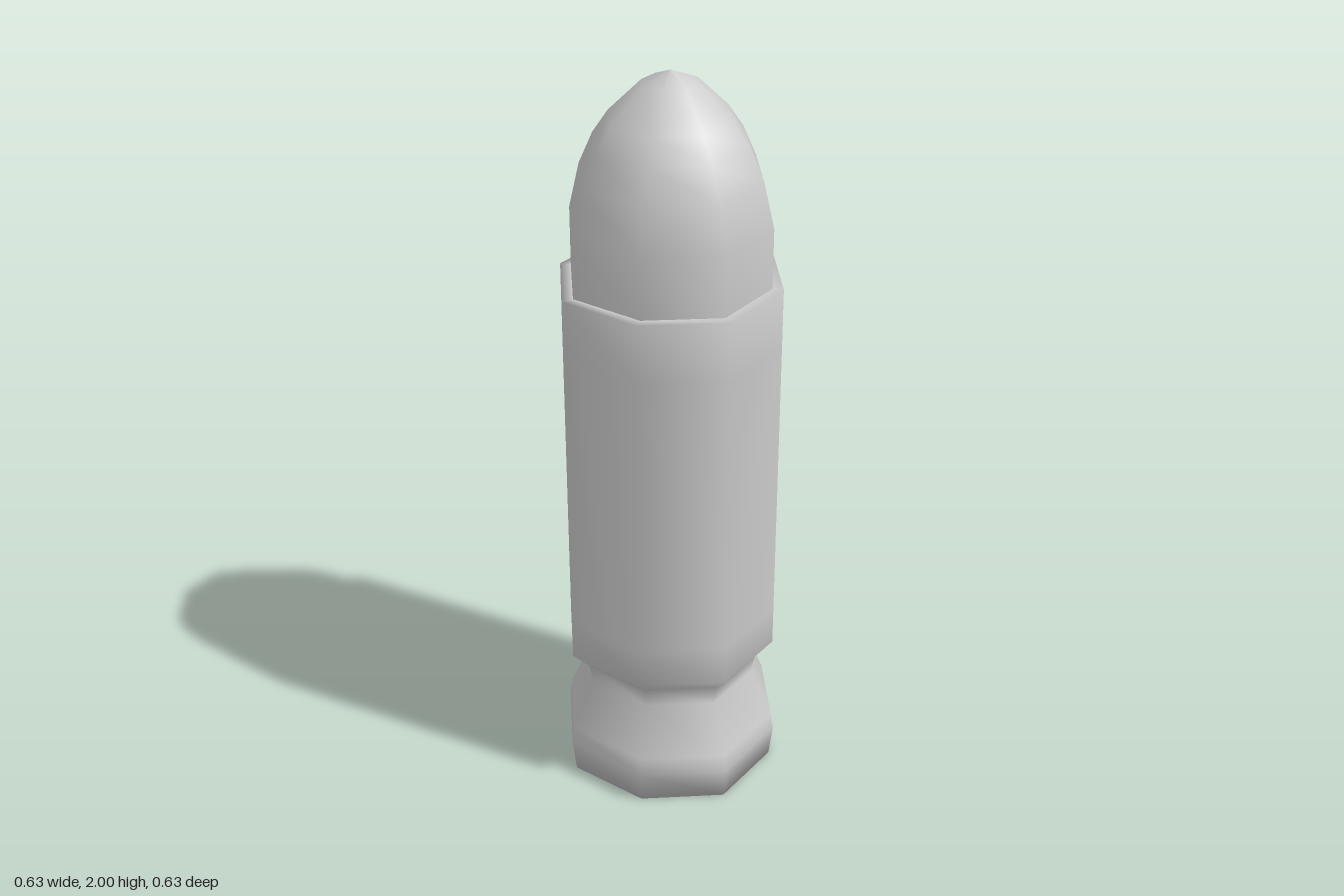
import * as THREE from 'three';

const material = new THREE.MeshStandardMaterial({ color: 0xcccccc });

// Smooth eight-sided turned part; diagonal corners sit slightly inward of the axis corners
function turned(name, profile) {
  const geometry = new THREE.LatheGeometry(profile.map(([r, y]) => new THREE.Vector2(r, y)), 8);
  const pos = geometry.attributes.position;
  for (let i = 0; i < pos.count; i++) {
    const x = pos.getX(i), z = pos.getZ(i);
    if (Math.min(Math.abs(x), Math.abs(z)) > 0.001) {
      pos.setX(i, x * 0.965);
      pos.setZ(i, z * 0.965);
    }
  }
  const mesh = new THREE.Mesh(geometry, material);
  mesh.name = name;
  return mesh;
}

export function createModel() {
  const model = new THREE.Group();
  model.name = 'cartridge';

  // Case: closed base, flared rim, extractor groove, straight wall and top ledge
  model.add(turned('case', [
    [0, 0], [0.303, 0], [0.314, 0.09], [0.306, 0.14], [0.244, 0.28],
    [0.256, 0.34], [0.304, 0.39], [0.304, 0.5], [0.304, 1.3], [0.304, 1.46], [0.272, 1.46],
  ]));

  // Bullet: short straight shank and rounded pointed nose
  model.add(turned('bullet', [
    [0.274, 1.46], [0.274, 1.62], [0.245, 1.74], [0.206, 1.825],
    [0.164, 1.885], [0.075, 1.97], [0, 2],
  ]));

  return model;
}
